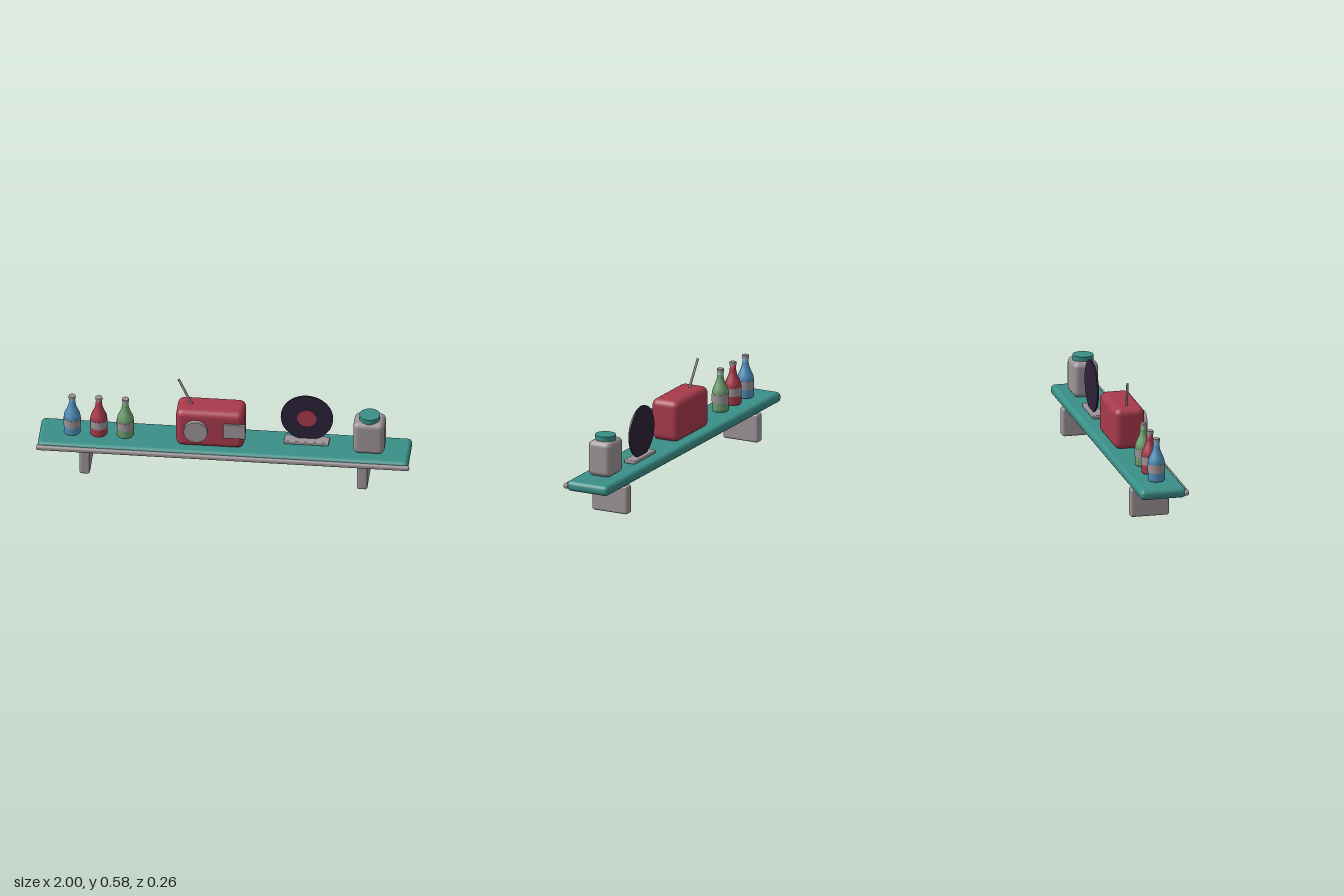
import * as THREE from 'three';
import { RoundedBoxGeometry } from 'three/addons/geometries/RoundedBoxGeometry.js';

const mat = (name, color) => {
  const m = new THREE.MeshStandardMaterial({ color });
  m.name = name;
  return m;
};

export function createModel() {
  const teal = mat('teal', 0x3a8f88), red = mat('red', 0xa83a4c), grey = mat('warm grey', 0x9c9498);
  const blue = mat('blue glass', 0x5090bd), green = mat('green glass', 0x6d9d70), dark = mat('dark vinyl', 0x2c2238);
  const model = new THREE.Group();
  model.name = 'shelfDisplay';

  const group = (name) => {
    const g = new THREE.Group();
    g.name = name;
    model.add(g);
    return g;
  };
  const add = (parent, name, geometry, material, x = 0, y = 0, z = 0) => {
    const m = new THREE.Mesh(geometry, material);
    m.name = name;
    m.position.set(x, y, z);
    parent.add(m);
    return m;
  };
  // Rounded box given by its lower and upper corners
  const box = (parent, name, material, [x0, y0, z0], [x1, y1, z1], r) =>
    add(parent, name, new RoundedBoxGeometry(x1 - x0, y1 - y0, z1 - z0, 3, r), material,
      (x0 + x1) / 2, (y0 + y1) / 2, (z0 + z1) / 2);
  // Disc facing +z
  const disc = (parent, name, material, r, depth, x, y, z, sides) =>
    add(parent, name, new THREE.CylinderGeometry(r, r, depth, sides).rotateX(Math.PI / 2), material, x, y, z);

  // Shelf board, front rim and brackets
  const shelf = group('shelf');
  box(shelf, 'board', teal, [-0.993, 0.158, -0.132], [0.993, 0.214, 0.12], 0.024);
  box(shelf, 'frontRim', grey, [-1, 0.172, 0.107], [1, 0.2, 0.133], 0.011);
  for (const s of [-1, 1]) {
    box(shelf, s < 0 ? 'rightBracket' : 'leftBracket', grey,
      [s * 0.743 - 0.028, 0, -0.132], [s * 0.743 + 0.028, 0.158, 0.08], 0.013);
  }

  // Three bottles with label band and cap
  const profile = [[0, 0.214], [0.04, 0.214], [0.045, 0.22], [0.045, 0.318], [0.041, 0.337],
    [0.03, 0.362], [0.021, 0.385], [0.017, 0.405], [0.016, 0.432], [0, 0.432]]
    .map(([r, y]) => new THREE.Vector2(r, y));
  [[-0.818, blue], [-0.675, red], [-0.533, green]].forEach(([x, glass], i) => {
    const bottle = group('bottle' + (i + 1));
    bottle.position.set(x, 0, -0.004);
    add(bottle, 'glass', new THREE.LatheGeometry(profile, 24), glass);
    add(bottle, 'label', new THREE.CylinderGeometry(0.0462, 0.0462, 0.046, 24), grey, 0, 0.287);
    add(bottle, 'cap', new THREE.CylinderGeometry(0.0185, 0.0185, 0.018, 20), grey, 0, 0.439);
  });

  // Radio with speaker, dial panel and aerial
  const radio = group('radio');
  box(radio, 'body', red, [-0.256, 0.214, -0.088], [0.109, 0.44, 0.079], 0.036);
  disc(radio, 'speaker', grey, 0.064, 0.024, -0.147, 0.327, 0.09, 20);
  box(radio, 'dialPanel', grey, [0, 0.29, 0.074], [0.12, 0.379, 0.089], 0.004);
  const foot = new THREE.Vector3(-0.174, 0.43, -0.005), tip = new THREE.Vector3(-0.249, 0.582, -0.019);
  const dir = tip.clone().sub(foot), mid = foot.clone().add(tip).multiplyScalar(0.5);
  const aerial = add(radio, 'aerial', new THREE.CylinderGeometry(0.0065, 0.0065, dir.length(), 10), grey,
    mid.x, mid.y, mid.z);
  aerial.quaternion.setFromUnitVectors(new THREE.Vector3(0, 1, 0), dir.normalize());

  // Record standing on a low base
  const record = group('record');
  disc(record, 'vinyl', dark, 0.14, 0.009, 0.436, 0.365, -0.042, 40);
  disc(record, 'centreLabel', red, 0.052, 0.004, 0.436, 0.365, -0.036, 28);
  box(record, 'stand', grey, [0.316, 0.214, -0.065], [0.557, 0.234, 0], 0.005);

  // Jar with a round lid
  const jar = group('jar');
  box(jar, 'body', grey, [0.692, 0.216, -0.074], [0.859, 0.411, 0.063], 0.03);
  add(jar, 'lid', new THREE.CylinderGeometry(0.056, 0.056, 0.03, 28), teal, 0.776, 0.42, -0.005);

  return model;
}
